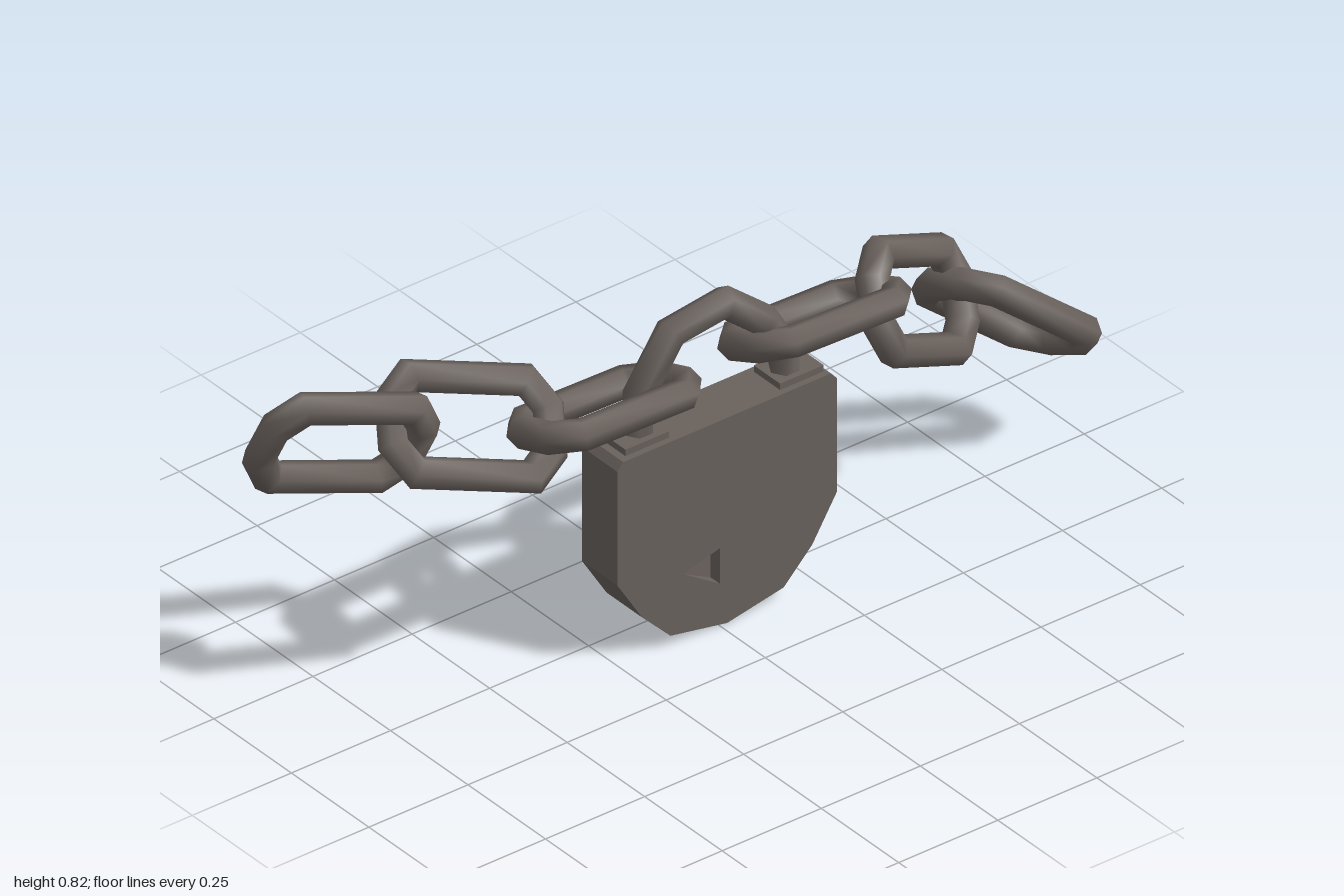
import * as THREE from 'three';

const iron = new THREE.MeshStandardMaterial({ color: 0x69615c });
iron.name = 'dull iron';
const V = (x, y, z) => new THREE.Vector3(x, y, z);

// Six-sided bar with mitred corners along a flat path of [x, y] points
function bar(path, radius, closed, sides = 6) {
  const n = path.length, pos = [], idx = [];
  const pts = path.map(([x, y]) => new THREE.Vector2(x, y));
  const dir = (a, b) => b.clone().sub(a).normalize();
  pts.forEach((p, i) => {
    let tin = closed || i > 0 ? dir(pts[(i + n - 1) % n], p) : null;
    let tout = closed || i < n - 1 ? dir(p, pts[(i + 1) % n]) : null;
    tin = tin || tout;
    tout = tout || tin;
    const t = tin.clone().add(tout).normalize();
    const r = radius / t.dot(tin);
    for (let j = 0; j < sides; j++) {
      const a = (j / sides) * Math.PI * 2;
      pos.push(p.x + t.y * r * Math.cos(a), p.y - t.x * r * Math.cos(a), radius * Math.sin(a));
    }
  });
  for (let i = 0; i < (closed ? n : n - 1); i++) {
    for (let j = 0; j < sides; j++) {
      const i2 = (i + 1) % n, j2 = (j + 1) % sides;
      const a = i * sides + j, b = i2 * sides + j, c = i * sides + j2, d = i2 * sides + j2;
      idx.push(a, b, c, b, d, c);
    }
  }
  const g = new THREE.BufferGeometry();
  g.setAttribute('position', new THREE.Float32BufferAttribute(pos, 3));
  g.setIndex(idx);
  g.computeVertexNormals();
  return g;
}

function add(parent, name, geometry) {
  const m = new THREE.Mesh(geometry, iron);
  m.name = name;
  parent.add(m);
  return m;
}

// One half of the lock body, with a wedge-shaped recess in its face
function bodyHalf(depth) {
  const shape = new THREE.Shape();
  const side = [[0.262, 0.487], [0.277, 0.47], [0.277, 0.2], [0.215, 0.1], [0.143, 0.027]];
  shape.moveTo(0, 0);
  [...side].reverse().forEach(([x, y]) => shape.lineTo(x, y));
  side.forEach(([x, y]) => shape.lineTo(-x, y));
  shape.closePath();
  const wedge = [[-0.11, 0.16], [-0.018, 0.185], [-0.018, 0.1]];
  shape.holes.push(new THREE.Path(wedge.map(([x, y]) => new THREE.Vector2(x, y))));
  const shell = new THREE.ExtrudeGeometry(shape, { depth, bevelEnabled: false });
  const floor = new THREE.BufferGeometry().setFromPoints([
    V(...wedge[0], depth), V(...wedge[2], depth - 0.03), V(...wedge[1], depth - 0.03),
  ]);
  floor.computeVertexNormals();
  return { shell, floor };
}

export function createModel() {
  const root = new THREE.Group();
  root.name = 'padlockAndChain';

  // Chain links: centre, long axis, short axis
  const loop = [
    [0.17, -0.045], [0.17, 0.045], [0.125, 0.1], [-0.125, 0.1],
    [-0.17, 0.045], [-0.17, -0.045], [-0.125, -0.1], [0.125, -0.1],
  ];
  const linkGeometry = bar(loop, 0.034, true);
  const links = [
    ['rightOuterLink', [-0.8, 0.655, -0.095], [0.95, -0.27, 0.2], [0.06, 0.19, 0.08]],
    ['rightMiddleLink', [-0.52, 0.612, -0.035], [0.92, -0.24, 0.33], [0.4, 0.72, -0.68]],
    ['rightInnerLink', [-0.245, 0.585, 0.043], [1, -0.02, 0], [0, 0.33, 0.94]],
    ['leftInnerLink', [0.3, 0.568, 0.025], [1, -0.03, 0], [0, 0.4, 0.92]],
    ['leftMiddleLink', [0.573, 0.493, 0.008], [0.83, -0.45, -0.28], [0.38, 0.7, -0.6]],
    ['leftOuterLink', [0.828, 0.345, -0.03], [0.77, -0.62, 0.13], [0.045, 0.105, 0.235]],
  ];
  for (const [name, centre, long, short] of links) {
    const l = V(...long).normalize();
    const s = V(...short);
    s.addScaledVector(l, -s.dot(l)).normalize();
    const link = add(root, name, linkGeometry);
    link.quaternion.setFromRotationMatrix(
      new THREE.Matrix4().makeBasis(l, s, l.clone().cross(s)));
    link.position.set(...centre);
  }

  // Shackle
  const arch = [
    [-0.163, 0.45], [-0.163, 0.58], [-0.08, 0.7],
    [0.055, 0.718], [0.155, 0.635], [0.206, 0.55], [0.206, 0.45],
  ];
  add(root, 'shackle', bar(arch, 0.033, false)).position.z = 0.047;

  // Lock body: the same half used for front and back
  const body = new THREE.Group();
  body.name = 'lockBody';
  body.position.set(0.018, 0, 0.047);
  const { shell, floor } = bodyHalf(0.057);
  ['front', 'back'].forEach((name, i) => {
    const half = new THREE.Group();
    half.name = name + 'Half';
    half.rotation.y = i * Math.PI;
    add(half, name + 'Shell', shell);
    add(half, name + 'KeyRecess', floor);
    body.add(half);
  });
  // Low collars where the shackle enters
  for (const x of [-0.19, 0.2]) {
    add(body, 'collar', new THREE.BoxGeometry(0.11, 0.03, 0.085)).position.set(x, 0.487, 0);
  }
  root.add(body);
  return root;
}
